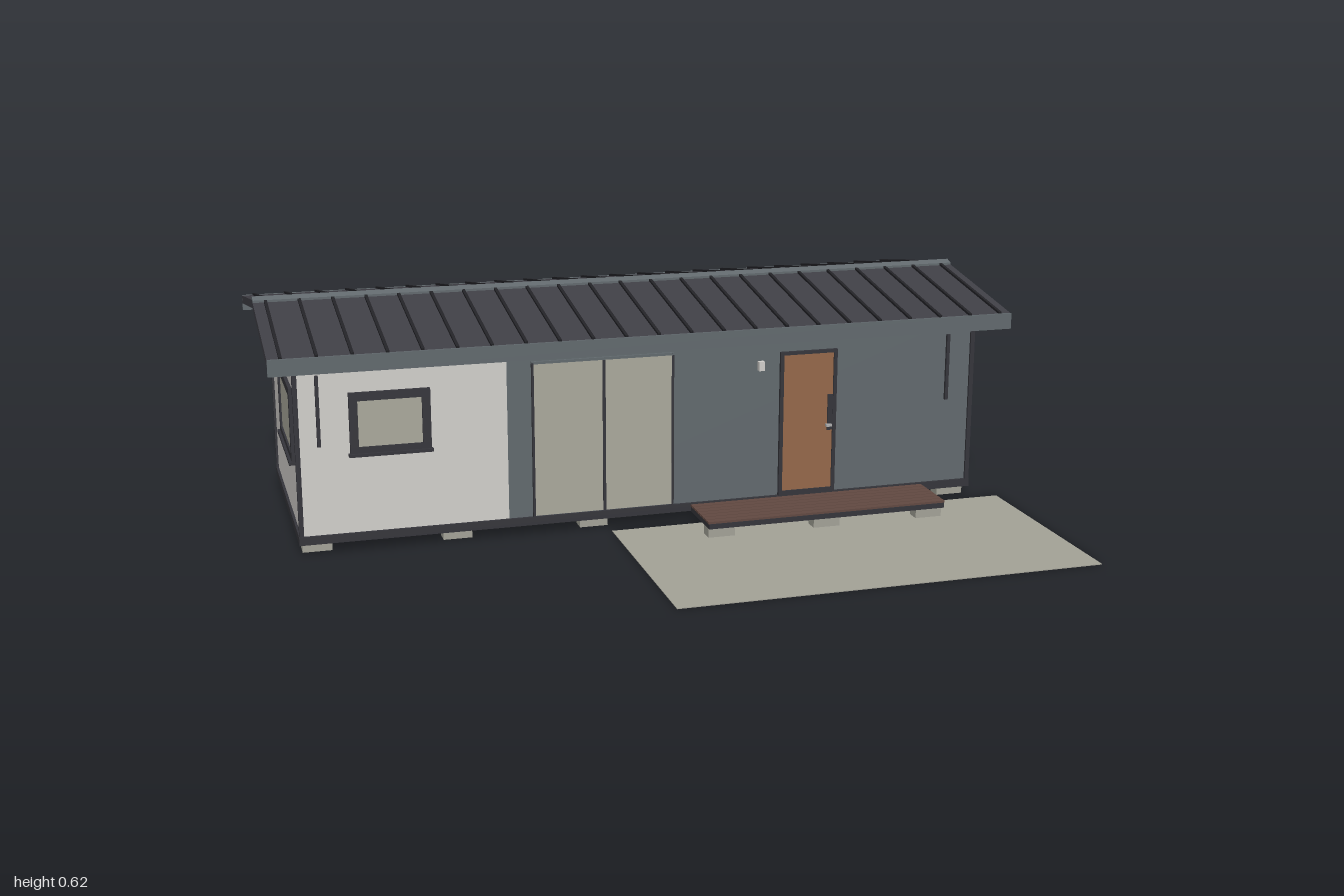
import * as THREE from 'three';

const mat = (name, color) => {
  const m = new THREE.MeshStandardMaterial({ color });
  m.name = name;
  return m;
};

export function createModel() {
  const cream = mat('cream cladding', 0xd3d1cd);
  const grey = mat('grey cladding', 0x626a6e);
  const roofMat = mat('roof metal', 0x403f46);
  const seamMat = mat('seam black', 0x232327);
  const trim = mat('dark trim', 0x35353b);
  const glass = mat('window glass', 0xabaa9d);
  const concrete = mat('concrete', 0xa4a398);
  const wood = mat('door wood', 0x96694a);
  const board = mat('deck board', 0x634a42);
  const metal = mat('handle metal', 0xb0b0b0);

  const model = new THREE.Group();
  model.name = 'cabin';

  // Box given by its min and max corners
  const box = (name, m, x0, x1, y0, y1, z0, z1, parent = model) => {
    const mesh = new THREE.Mesh(new THREE.BoxGeometry(x1 - x0, y1 - y0, z1 - z0), m);
    mesh.position.set((x0 + x1) / 2, (y0 + y1) / 2, (z0 + z1) / 2);
    mesh.name = name;
    parent.add(mesh);
    return mesh;
  };
  // Side profile of [z, y] points, extruded from x0 to x1
  const prism = (name, m, points, x0, x1) => {
    const shape = new THREE.Shape(points.map(([z, y]) => new THREE.Vector2(-z, y)));
    const geo = new THREE.ExtrudeGeometry(shape, { depth: x1 - x0, bevelEnabled: false });
    geo.rotateY(Math.PI / 2);
    const mesh = new THREE.Mesh(geo, m);
    mesh.position.x = x0;
    mesh.name = name;
    model.add(mesh);
  };

  const ridgeZ = -0.27, front = 0.055, back = -0.592, left = 0.92, right = -0.93;
  const under = (z) => 0.584 - Math.abs(z - ridgeZ) * 0.168;

  // Walls
  const section = [[front, 0.045], [back, 0.045], [back, under(back)], [ridgeZ, 0.584], [front, under(front)]];
  prism('creamWalls', cream, section, right, -0.39);
  prism('greyWalls', grey, section, -0.39, left);
  prism('creamEndPanel', cream,
    [[-0.12, 0.045], [back, 0.045], [back, under(back)], [ridgeZ, 0.584], [-0.12, under(-0.12)]], left, left + 0.003);

  // Floor frame and corner posts
  box('floorFrame', trim, -0.937, 0.927, 0.028, 0.05, -0.599, 0.062);
  for (const x of [-0.936, 0.914])
    for (const z of [-0.598, 0.049])
      box('cornerPost', trim, x, x + 0.012, 0.05, 0.527, z, z + 0.012);

  // Roof with standing seams, ridge cap and fascias
  const eave = 0.41, drop = 0.069;
  prism('roof', roofMat, [
    [ridgeZ + eave, 0.515], [ridgeZ + eave, 0.537], [ridgeZ, 0.537 + drop],
    [ridgeZ - eave, 0.537], [ridgeZ - eave, 0.515], [ridgeZ, 0.584],
  ], -1, 0.99);
  const slope = Math.atan2(drop, eave);
  for (const side of [1, -1]) {
    for (let i = 0; i < 23; i++) {
      const seam = new THREE.Mesh(new THREE.BoxGeometry(0.008, 0.009, Math.hypot(eave, drop)), seamMat);
      seam.position.set(-0.967 + i * 0.0875, 0.537 + drop / 2 + 0.0015, ridgeZ + side * eave / 2);
      seam.rotation.x = side * slope;
      seam.name = 'roofSeam';
      model.add(seam);
    }
    const z = ridgeZ + side * (eave + 0.002);
    box('fascia', grey, -1, 0.99, 0.495, 0.538, z - 0.003, z + 0.003);
  }
  prism('ridgeCap', grey, [
    [-0.246, 0.597], [-0.246, 0.608], [ridgeZ, 0.615], [-0.294, 0.608], [-0.294, 0.597],
  ], -1, 0.99);

  // Framed window, built facing +z and then turned to its wall
  const windowUnit = (name, x, y, z, turn, w, h, panes) => {
    const g = new THREE.Group();
    g.name = name;
    const a = w / 2, b = h / 2, f = 0.022;
    box('glass', glass, -a + f, a - f, -b + f, b - f, 0, 0.004, g);
    box('frameTop', trim, -a, a, b - f, b, 0, 0.009, g);
    box('frameBottom', trim, -a, a, -b, -b + f, 0, 0.009, g);
    for (const s of [-1, 1]) {
      const c = s * (a - f / 2);
      box('frameSide', trim, c - f / 2, c + f / 2, -b + f, b - f, 0, 0.009, g);
    }
    if (panes > 1) box('mullion', trim, -0.006, 0.006, -b + f, b - f, 0, 0.008, g);
    box('sill', trim, -a - 0.004, a + 0.004, -b - 0.002, -b + 0.006, 0, 0.016, g);
    g.position.set(x, y, z);
    g.rotation.y = turn;
    model.add(g);
  };
  windowUnit('frontWindow', -0.694, 0.338, front, 0, 0.208, 0.165, 1);
  windowUnit('smallBackWindow', 0.745, 0.41, back, Math.PI, 0.13, 0.11, 2);
  windowUnit('wideBackWindow', 0.315, 0.33, back, Math.PI, 0.29, 0.145, 2);
  windowUnit('endWindow', right, 0.322, -0.183, -Math.PI / 2, 0.326, 0.2, 1);

  // Sliding glass door
  box('slidingGlass', glass, -0.32, 0.055, 0.052, 0.465, front, front + 0.004);
  box('slidingMullion', trim, -0.136, -0.128, 0.052, 0.465, front, front + 0.006);
  for (const x of [-0.326, 0.053])
    box('slidingJamb', trim, x, x + 0.006, 0.05, 0.468, front, front + 0.007);
  box('slidingHead', grey, -0.326, 0.059, 0.463, 0.47, front, front + 0.007);

  // Entrance door
  box('door', wood, 0.366, 0.512, 0.058, 0.444, front, front + 0.005);
  for (const x of [0.357, 0.51])
    box('doorJamb', trim, x, x + 0.01, 0.05, 0.45, front, front + 0.009);
  box('doorHead', trim, 0.357, 0.52, 0.442, 0.451, front, front + 0.009);
  box('doorSill', trim, 0.357, 0.52, 0.05, 0.062, front, front + 0.009);
  box('doorPlate', trim, 0.495, 0.511, 0.225, 0.325, front, front + 0.008);
  box('doorHandle', metal, 0.49, 0.506, 0.236, 0.243, front, front + 0.016);

  // Wall lamp and slim wall bars
  box('wallLamp', cream, 0.294, 0.31, 0.405, 0.43, front, 0.07);
  for (const x of [-0.88, 0.842])
    box('wallBar', trim, x, x + 0.009, 0.285, 0.47, front, front + 0.008);

  // Foundation blocks
  for (const x of [-0.89, -0.525, -0.157, 0.213, 0.588, 0.878])
    for (const z of [0.02, -0.56])
      box('foundationBlock', concrete, x - 0.038, x + 0.038, 0.002, 0.029, z - 0.02, z + 0.02);

  // Step deck with boards and its blocks
  box('deckFrame', trim, 0.108, 0.777, 0.027, 0.041, 0.063, 0.222);
  for (let i = 0; i < 7; i++) {
    const z = 0.064 + i * 0.023;
    box('deckBoard', board, 0.106, 0.779, 0.041, 0.047, z, z + 0.019);
  }
  for (const x of [0.145, 0.44, 0.735])
    box('deckBlock', concrete, x - 0.037, x + 0.037, 0.002, 0.027, 0.178, 0.215);

  // Ground slab
  box('patio', concrete, -0.12, 1, 0, 0.002, 0.09, 0.68);

  return model;
}
